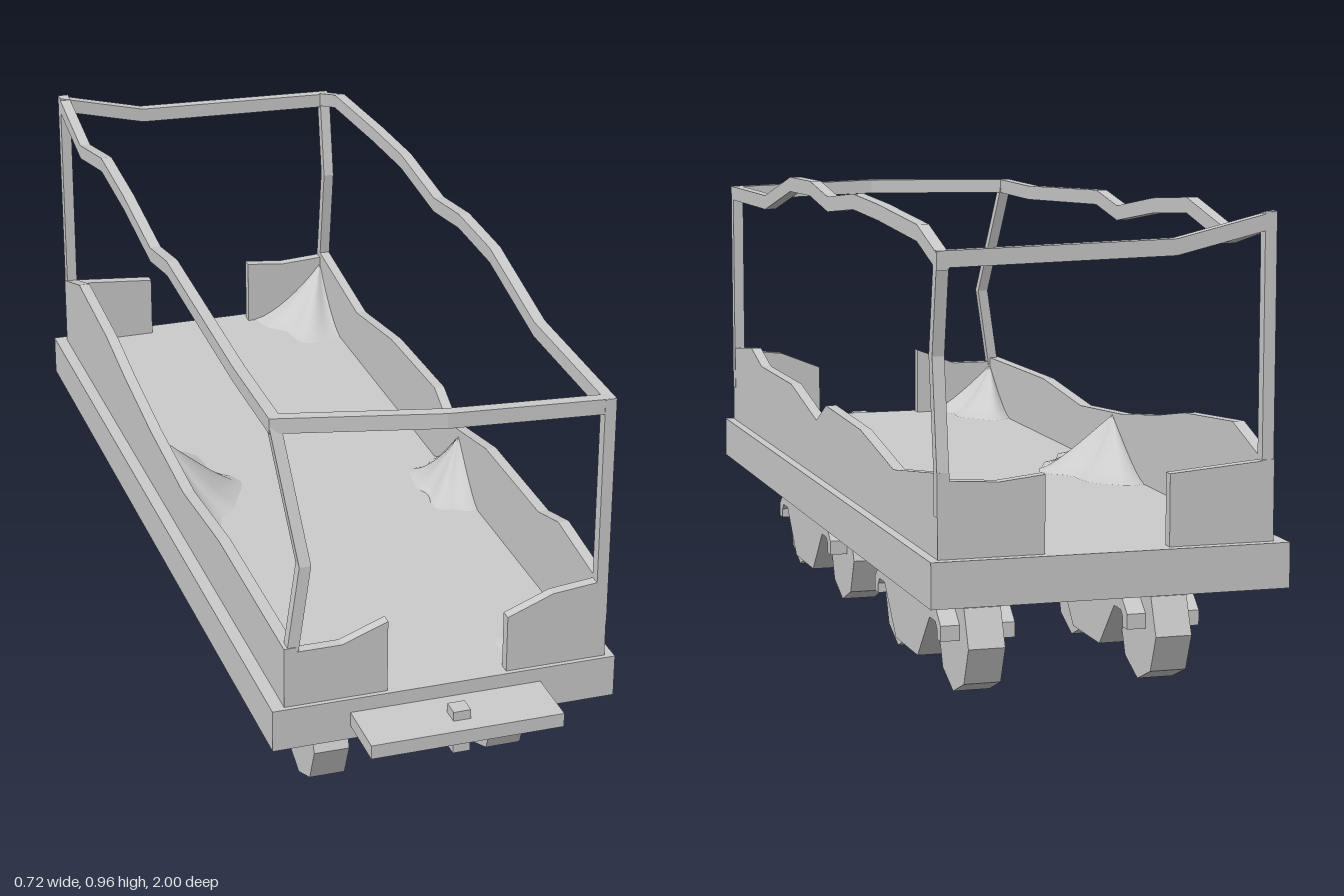
import * as THREE from 'three';

const flat = new THREE.MeshStandardMaterial({ color: 0xcccccc, flatShading: true });
const smooth = new THREE.MeshStandardMaterial({ color: 0xcccccc, side: THREE.DoubleSide });
const X = new THREE.Vector3(1, 0, 0), Y = new THREE.Vector3(0, 1, 0), Z = new THREE.Vector3(0, 0, 1);

export function createModel() {
  const model = new THREE.Group();
  model.name = 'openWagon';

  const add = (name, geometry, material = flat, parent = model) => {
    const mesh = new THREE.Mesh(geometry, material);
    mesh.name = name;
    parent.add(mesh);
    return mesh;
  };

  // Box given by its min and max on each axis
  const box = (name, x0, x1, y0, y1, z0, z1, parent) =>
    add(name, new THREE.BoxGeometry(x1 - x0, y1 - y0, z1 - z0), flat, parent)
      .position.set((x0 + x1) / 2, (y0 + y1) / 2, (z0 + z1) / 2);

  // Outline in the (z, y) plane, extruded from x0 to x1
  const sidePlate = (name, outline, x0, x1, parent) => {
    const shape = new THREE.Shape(outline.map(([z, y]) => new THREE.Vector2(-z, y)));
    const g = new THREE.ExtrudeGeometry(shape, { depth: x1 - x0, bevelEnabled: false });
    g.rotateY(Math.PI / 2).translate(x0, 0, 0);
    return add(name, g, flat, parent);
  };

  // Outline in the (x, y) plane, extruded from z0 to z1
  const endPlate = (name, outline, z0, z1) => {
    const shape = new THREE.Shape(outline.map(([x, y]) => new THREE.Vector2(x, y)));
    const g = new THREE.ExtrudeGeometry(shape, { depth: z1 - z0, bevelEnabled: false });
    return add(name, g.translate(0, 0, z0));
  };

  // Bent bar: a rectangular section (half sizes ha, hb along a, b) swept through points
  const bar = (name, points, a, b, ha, hb) => {
    const pos = [], idx = [];
    for (const p of points)
      for (const [s, t] of [[1, 1], [-1, 1], [-1, -1], [1, -1]])
        pos.push(...new THREE.Vector3(...p).addScaledVector(a, s * ha).addScaledVector(b, t * hb).toArray());
    for (let i = 0; i < points.length - 1; i++)
      for (let j = 0; j < 4; j++) {
        const p = i * 4 + j, q = i * 4 + (j + 1) % 4;
        idx.push(p, q, q + 4, p, q + 4, p + 4);
      }
    const e = (points.length - 1) * 4;
    idx.push(0, 2, 1, 0, 3, 2, e, e + 1, e + 2, e, e + 2, e + 3);
    const g = new THREE.BufferGeometry();
    g.setAttribute('position', new THREE.Float32BufferAttribute(pos, 3));
    g.setIndex(idx);
    const faceted = g.toNonIndexed();
    faceted.computeVertexNormals();
    add(name, faceted);
  };

  // Heap of loose material: a fan around (cx, cz) with a ragged rim
  const heap = (name, cx, cz, rx, rz, height, a0, a1, seed) => {
    const pos = [], idx = [], rings = 8, spokes = 20;
    for (let i = 0; i <= rings; i++)
      for (let j = 0; j <= spokes; j++) {
        const r = i / rings, a = THREE.MathUtils.lerp(a0, a1, j / spokes) * Math.PI;
        const rag = 0.93 + 0.09 * Math.sin(a * 5 + seed) + 0.05 * Math.sin(a * 9 + seed * 2);
        const y = height * Math.pow(1 - r, 1.4) * (1 + 0.25 * r * Math.sin(a * 4 + seed));
        pos.push(cx + rx * r * rag * Math.cos(a), 0.321 + y, cz + rz * r * rag * Math.sin(a));
        if (i < rings && j < spokes) {
          const p = i * (spokes + 1) + j, q = p + spokes + 1;
          idx.push(p, p + 1, q, p + 1, q + 1, q);
        }
      }
    const g = new THREE.BufferGeometry();
    g.setAttribute('position', new THREE.Float32BufferAttribute(pos, 3));
    g.setIndex(idx);
    g.computeVertexNormals();
    add(name, g, smooth);
  };

  // Deck and coupling
  box('deck', -0.36, 0.36, 0.23, 0.32, -1, 0.87);
  box('couplerPlate', -0.2, 0.2, 0.26, 0.29, 0.86, 1);
  box('couplerPin', -0.018, 0.018, 0.217, 0.31, 0.925, 0.962);

  // Broken side walls
  sidePlate('leftWall', [[0.86, 0.31], [0.86, 0.495], [0.65, 0.52], [0.54, 0.49], [0.23, 0.49], [-0.01, 0.443],
    [-0.1, 0.488], [-0.4, 0.48], [-0.66, 0.44], [-0.98, 0.485], [-0.98, 0.31]], 0.318, 0.341);
  sidePlate('rightWall', [[0.86, 0.31], [0.86, 0.45], [0.4, 0.455], [0.12, 0.43], [-0.15, 0.45], [-0.38, 0.48],
    [-0.55, 0.51], [-0.82, 0.532], [-0.98, 0.48], [-0.98, 0.31]], -0.333, -0.308);

  // Broken end walls either side of the doorways
  endPlate('frontWallRight', [[-0.333, 0.31], [-0.12, 0.31], [-0.12, 0.476], [-0.215, 0.44], [-0.333, 0.44]], 0.837, 0.86);
  endPlate('frontWallLeft', [[0.13, 0.31], [0.34, 0.31], [0.34, 0.492], [0.225, 0.48], [0.13, 0.442]], 0.837, 0.86);
  endPlate('backWallRight', [[-0.333, 0.31], [-0.12, 0.31], [-0.12, 0.462], [-0.333, 0.48]], -0.98, -0.957);
  endPlate('backWallLeft', [[0.13, 0.31], [0.34, 0.31], [0.34, 0.47], [0.22, 0.463], [0.13, 0.473]], -0.98, -0.957);

  // Posts, two of them buckled
  const post = (name, points) => bar(name, points, Z, X, 0.012, 0.012);
  post('frontPostLeft', [[0.33, 0.4, 0.848], [0.33, 0.885, 0.848]]);
  post('frontPostRight', [[-0.321, 0.4, 0.848], [-0.287, 0.62, 0.84], [-0.32, 0.885, 0.755]]);
  post('backPostLeft', [[0.33, 0.4, -0.967], [0.33, 0.48, -0.967], [0.33, 0.7, -0.935], [0.33, 0.885, -0.967]]);
  post('backPostRight', [[-0.32, 0.4, -0.967], [-0.32, 0.955, -0.967]]);

  // Warped top rails
  const sideRail = (name, x, points) =>
    bar(name, points.map(([z, y]) => [x, y, z]), X, Y, 0.012, 0.016);
  sideRail('topRailLeft', 0.33, [[-0.978, 0.88], [-0.84, 0.922], [-0.55, 0.938], [-0.35, 0.944], [-0.13, 0.922],
    [0.03, 0.944], [0.22, 0.94], [0.48, 0.88], [0.86, 0.875]]);
  sideRail('topRailRight', -0.32, [[-0.978, 0.943], [-0.76, 0.894], [-0.55, 0.938], [-0.35, 0.922], [-0.12, 0.888],
    [0.02, 0.912], [0.25, 0.9], [0.52, 0.886], [0.76, 0.886]]);
  const endRail = (name, points) => bar(name, points, Y, Z, 0.016, 0.012);
  endRail('frontTopRail', [[-0.332, 0.886, 0.755], [0, 0.886, 0.835], [0.341, 0.875, 0.848]]);
  endRail('backTopRail', [[-0.332, 0.943, -0.967], [-0.13, 0.895, -0.967], [0.341, 0.884, -0.967]]);

  // Heaps against the walls and in the corners
  heap('sideHeapRight', -0.308, -0.1, 0.16, 0.23, 0.12, -0.5, 0.5, 1);
  heap('sideHeapLeft', 0.318, 0.06, 0.1, 0.15, 0.12, 0.5, 1.5, 2);
  heap('frontHeapRight', -0.308, 0.837, 0.15, 0.2, 0.11, -0.5, 0, 0.5);
  heap('frontHeapLeft', 0.318, 0.837, 0.18, 0.21, 0.15, 1, 1.5, 3);
  heap('backHeapLeft', 0.318, -0.957, 0.18, 0.19, 0.13, 0.5, 1, 4);

  // Four bogies, each a hooked frame with two octagonal wheels
  const halfFrame = [[0.085, 0.047], [0.175, 0.145], [0.215, 0.145], [0.228, 0.132], [0.228, 0.112],
    [0.255, 0.112], [0.255, 0.143], [0.22, 0.172]];
  const frame = [...halfFrame, ...halfFrame.map(([z, y]) => [-z, y]).reverse()];
  for (const [side, x] of [['Right', -0.188], ['Left', 0.198]])
    for (const [end, z] of [['front', 0.398], ['back', -0.508]]) {
      const bogie = new THREE.Group();
      bogie.name = `${end}Bogie${side}`;
      bogie.position.set(x, 0, z);
      sidePlate('bogieFrame', frame, -0.076, 0.076, bogie);
      box('bogieMount', -0.024, 0.024, 0.16, 0.235, -0.08, 0.08, bogie);
      for (const wz of [-0.21, 0.21]) {
        const wheel = new THREE.CylinderGeometry(0.107, 0.107, 0.075, 8).rotateZ(Math.PI / 2);
        add('wheel', wheel, flat, bogie).position.set(0, 0.107, wz);
      }
      model.add(bogie);
    }

  return model;
}
